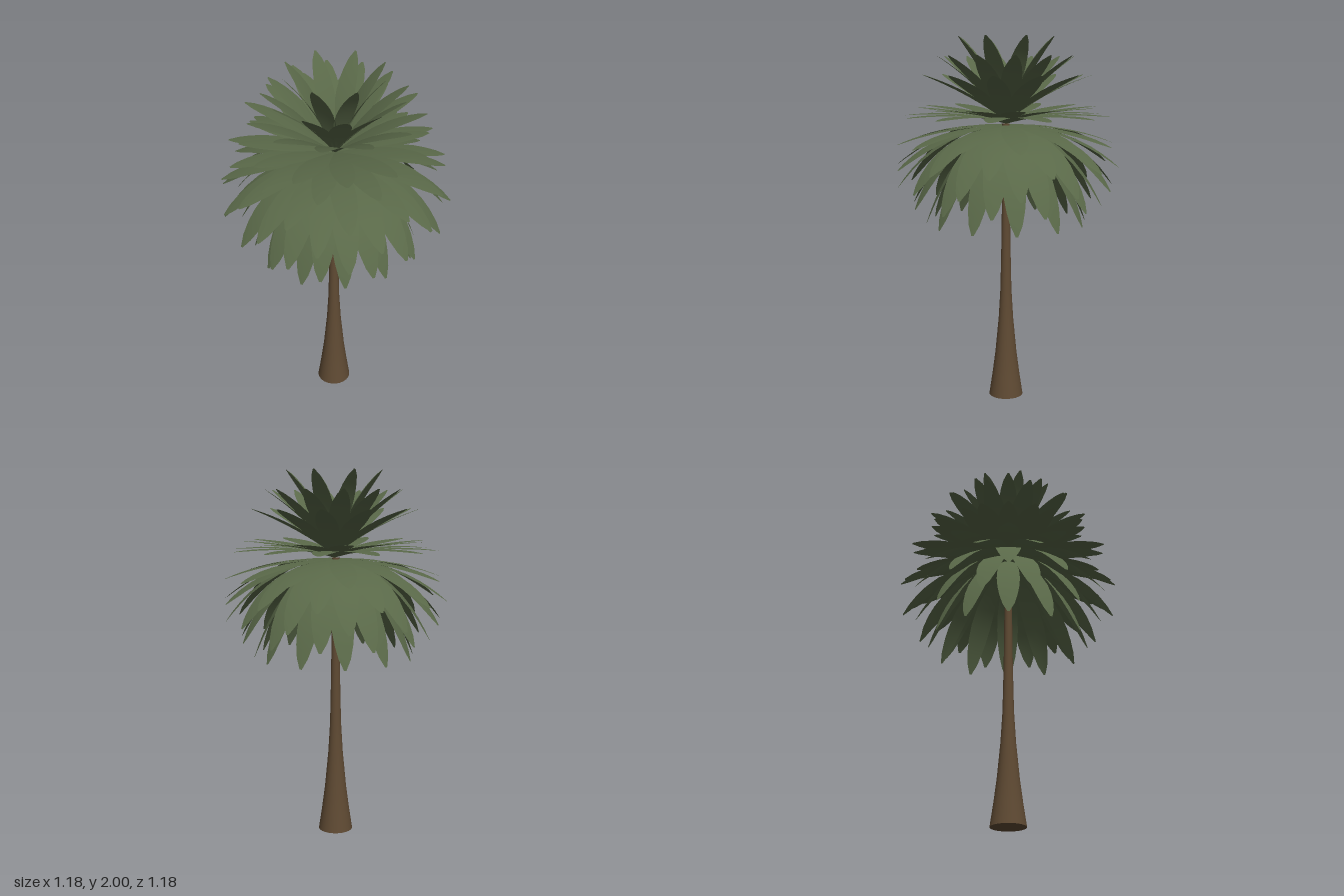
import * as THREE from 'three';

const leafGreen = new THREE.MeshStandardMaterial({ color: 0x596848, side: THREE.DoubleSide });
leafGreen.name = 'leafGreen';
const barkBrown = new THREE.MeshStandardMaterial({ color: 0x5f4a33 });
barkBrown.name = 'barkBrown';

// Half-width of a frond along its length: [fraction of length, fraction of full width]
const OUTLINE = [[0, 0.12], [0.15, 0.4], [0.3, 0.72], [0.45, 0.94], [0.6, 1], [0.72, 0.92], [0.82, 0.76], [0.92, 0.5], [1, 0.1]];

// A curved blade running outward along +z, with a shallow trough across it
function frondGeometry(base, bend, tip, halfWidth) {
  const curve = new THREE.QuadraticBezierCurve(
    new THREE.Vector2(...base), new THREE.Vector2(...bend), new THREE.Vector2(...tip));
  const positions = [], index = [];
  OUTLINE.forEach(([t, w], i) => {
    const p = curve.getPointAt(t), d = curve.getTangentAt(t);
    for (const side of [-1, 0, 1]) {
      const sag = side === 0 ? 0 : -0.06 * w * halfWidth;
      positions.push(side * w * halfWidth, p.y + d.x * sag, p.x - d.y * sag);
    }
    if (i === 0) return;
    for (let k = 0; k < 2; k++) {
      const a = (i - 1) * 3 + k, b = a + 1, c = a + 3, e = a + 4;
      index.push(a, c, b, b, c, e);
    }
  });
  const geometry = new THREE.BufferGeometry();
  geometry.setAttribute('position', new THREE.Float32BufferAttribute(positions, 3));
  geometry.setIndex(index);
  geometry.computeVertexNormals();
  return geometry;
}

// Rings of fronds from top to bottom; points are [radius, height]
const TIERS = [
  { name: 'crownFronds', count: 8, turn: 0, base: [0, 1.55], bend: [0.09, 1.82], tip: [0.27, 2.0], w: 0.05 },
  { name: 'steepFronds', count: 12, turn: 0, base: [0, 1.55], bend: [0.14, 1.76], tip: [0.37, 1.9], w: 0.055 },
  { name: 'raisedFronds', count: 12, turn: 15, base: [0, 1.55], bend: [0.2, 1.72], tip: [0.46, 1.8], w: 0.057 },
  { name: 'upperLevelFronds', count: 12, turn: 0, base: [0, 1.55], bend: [0.22, 1.62], tip: [0.49, 1.63], w: 0.06 },
  { name: 'lowerLevelFronds', count: 12, turn: 15, base: [0, 1.54], bend: [0.26, 1.62], tip: [0.56, 1.58], w: 0.062 },
  { name: 'spreadingFronds', count: 12, turn: 0, base: [0, 1.53], bend: [0.34, 1.54], tip: [0.59, 1.43], w: 0.064 },
  { name: 'archingFronds', count: 12, turn: 15, base: [0, 1.53], bend: [0.36, 1.53], tip: [0.61, 1.31], w: 0.066 },
  { name: 'droopingFronds', count: 12, turn: 0, base: [0, 1.53], bend: [0.38, 1.52], tip: [0.59, 1.2], w: 0.068 },
  { name: 'hangingFronds', count: 12, turn: 15, base: [0, 1.53], bend: [0.33, 1.5], tip: [0.52, 1.1], w: 0.066 },
  { name: 'skirtFronds', count: 12, turn: 0, base: [0, 1.53], bend: [0.28, 1.46], tip: [0.44, 1.0], w: 0.062 },
];

export function createModel() {
  const palm = new THREE.Group();
  palm.name = 'palmTree';

  // Flared trunk with a closed foot
  const profile = [[0, 0], [0.095, 0], [0.095, 0], [0.077, 0.12], [0.06, 0.25], [0.041, 0.45],
    [0.031, 0.62], [0.026, 0.85], [0.023, 1.05], [0.02, 1.54]]
    .map(([r, y]) => new THREE.Vector2(r, y));
  // The doubled rim point keeps the foot edge sharp
  const side = new THREE.Mesh(new THREE.LatheGeometry(profile.slice(2), 24), barkBrown);
  const foot = new THREE.Mesh(new THREE.LatheGeometry(profile.slice(0, 2), 24), barkBrown);
  side.name = 'trunkSide';
  foot.name = 'trunkFoot';
  const trunk = new THREE.Group();
  trunk.name = 'trunk';
  trunk.add(side, foot);
  trunk.position.set(-0.005, 0, 0.005);
  palm.add(trunk);

  // Crown of fronds
  for (const { name, count, turn, base, bend, tip, w } of TIERS) {
    const tier = new THREE.Group();
    tier.name = name;
    const geometry = frondGeometry(base, bend, tip, w);
    for (let i = 0; i < count; i++) {
      const frond = new THREE.Mesh(geometry, leafGreen);
      frond.name = 'frond';
      frond.rotation.y = THREE.MathUtils.degToRad(turn) + (i / count) * Math.PI * 2;
      tier.add(frond);
    }
    palm.add(tier);
  }
  return palm;
}
